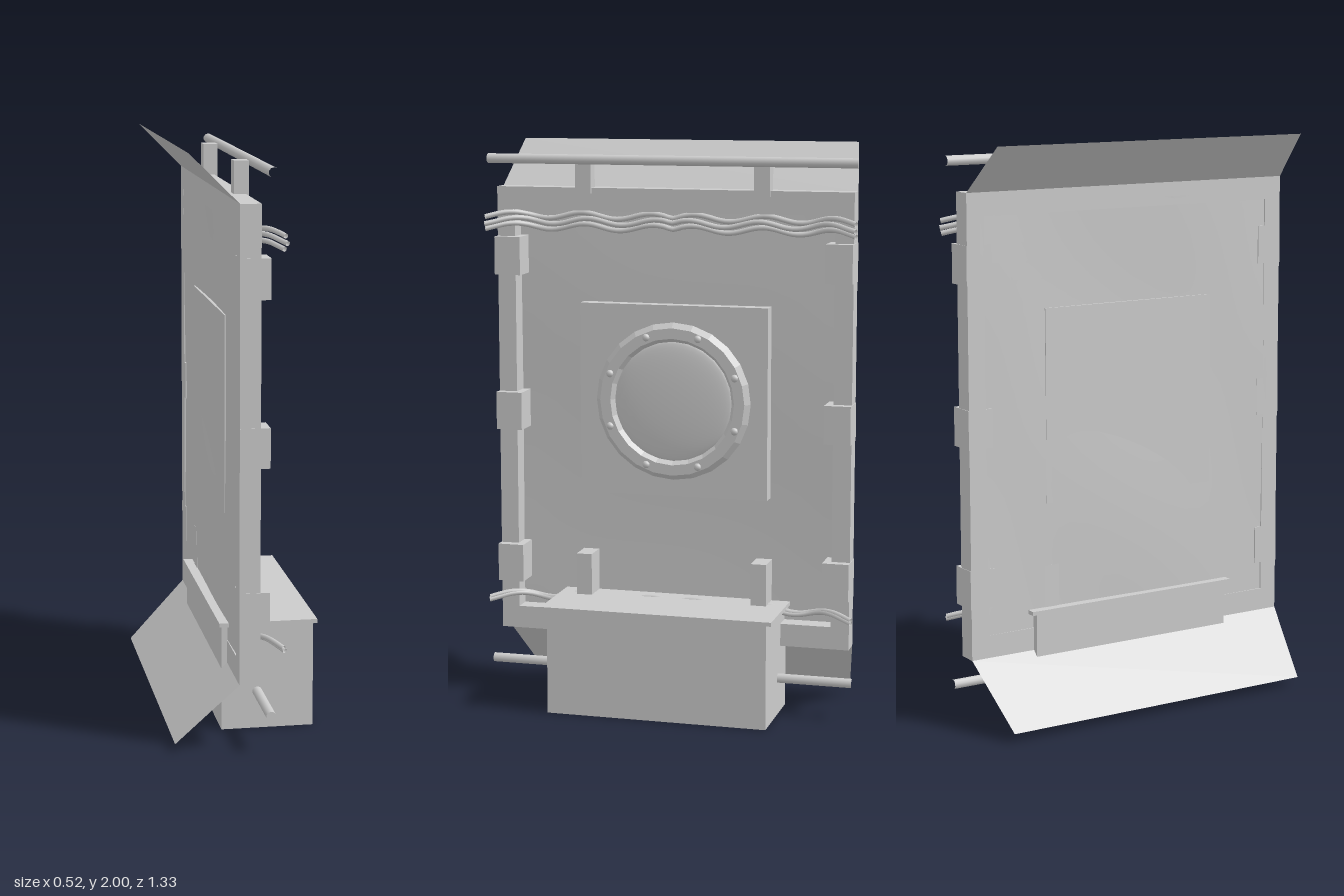
import * as THREE from 'three';

const grey = new THREE.MeshStandardMaterial({ color: 0xcccccc, side: THREE.DoubleSide });
const faceted = new THREE.MeshStandardMaterial({ color: 0xcccccc, flatShading: true });
const tubeSkin = new THREE.MeshStandardMaterial({ color: 0xcccccc });

export function createModel() {
  const model = new THREE.Group();
  model.name = 'wallPanelUnit';

  const add = (name, geometry, material = faceted) => {
    const mesh = new THREE.Mesh(geometry, material);
    mesh.name = name;
    model.add(mesh);
    return mesh;
  };
  // Box given by its limits on each axis
  const box = (name, x0, x1, y0, y1, z0, z1) => {
    const mesh = add(name, new THREE.BoxGeometry(x1 - x0, y1 - y0, z1 - z0));
    mesh.position.set((x0 + x1) / 2, (y0 + y1) / 2, (z0 + z1) / 2);
    return mesh;
  };

  // Frame rails, and posts with clamps
  box('topRail', -0.05, 0.02, 1.76, 1.84, -0.58, 0.58);
  box('bottomRail', -0.05, 0.02, 0.24, 0.32, -0.58, 0.58);
  for (const s of [-1, 1]) {
    const side = (name, x0, x1, y0, y1, a, b) =>
      box(name, x0, x1, y0, y1, Math.min(s * a, s * b), Math.max(s * a, s * b));
    side('post', -0.05, 0.02, 0.24, 1.84, 0.575, 0.64);
    for (const y of [0.42, 0.975, 1.53]) side('clamp', -0.05, 0.052, y, y + 0.135, 0.548, 0.642);
    side('upperBracket', -0.02, 0.03, 1.82, 1.95, 0.292, 0.348);
    side('lowerBracket', -0.048, 0.045, 0.3, 0.535, 0.292, 0.348);
  }

  // Gently dented inner sheet
  const sheet = new THREE.PlaneGeometry(1.18, 1.5, 20, 24);
  sheet.rotateY(Math.PI / 2);
  const p = sheet.attributes.position;
  for (let i = 0; i < p.count; i++) {
    const y = p.getY(i), z = p.getZ(i);
    p.setX(i, 0.007 * Math.sin(4.5 * y + 2 * z) * Math.cos(3.5 * z));
  }
  sheet.computeVertexNormals();
  add('innerSheet', sheet, grey).position.set(-0.047, 1.04, 0);

  // Sloped flaps behind the top and bottom edges
  const flap = (name, y0, x1, y1, w1) => {
    const g = new THREE.BufferGeometry();
    g.setAttribute('position', new THREE.Float32BufferAttribute(
      [-0.05, y0, -0.64, -0.05, y0, 0.64, x1, y1, w1, x1, y1, -w1], 3));
    g.setIndex([0, 1, 2, 0, 2, 3]);
    g.computeVertexNormals();
    add(name, g, grey);
  };
  flap('topFlap', 1.84, -0.21, 2.0, 0.61);
  flap('bottomFlap', 0.24, -0.26, 0.03, 0.595);

  // Porthole: square plate, bevelled ring, shallow dome and bolts
  const cy = 1.095;
  box('portholePlate', -0.05, 0.008, cy - 0.34, cy + 0.34, -0.34, 0.34);
  const profile = [[0.21, 0.005], [0.225, 0.028], [0.262, 0.028], [0.283, 0.005]]
    .map(([r, h]) => new THREE.Vector2(r, h)).reverse();
  const ring = add('portholeRing', new THREE.LatheGeometry(profile, 24),
    new THREE.MeshStandardMaterial({ color: 0xcccccc, flatShading: true, side: THREE.DoubleSide }));
  ring.rotation.z = -Math.PI / 2;
  ring.position.y = cy;
  const dome = add('portholeDome',
    new THREE.SphereGeometry(0.215, 32, 10, 0, Math.PI * 2, 0, Math.PI / 2), tubeSkin);
  dome.scale.y = 0.1;
  dome.rotation.z = -Math.PI / 2;
  dome.position.set(0.005, cy, 0);
  for (let i = 0; i < 8; i++) {
    const a = (i + 0.5) * Math.PI / 4;
    add('bolt', new THREE.SphereGeometry(0.014, 8, 6), tubeSkin)
      .position.set(0.026, cy + 0.245 * Math.sin(a), 0.245 * Math.cos(a));
  }

  // Storage box with overhanging lid
  box('storageBox', -0.07, 0.25, 0, 0.372, -0.395, 0.395);
  box('storageLid', -0.08, 0.26, 0.372, 0.386, -0.415, 0.415);

  // Straight open-ended pipes
  for (const y of [0.132, 1.94]) {
    const pipe = add('pipe', new THREE.CylinderGeometry(0.017, 0.017, 1.32, 10, 1, true), tubeSkin);
    pipe.rotation.x = Math.PI / 2;
    pipe.position.set(0.055, y, 0);
  }

  // Wavy hoses whose ends swing outwards past the posts
  const hose = (name, y, phase, dx) => {
    const points = [];
    for (let i = 0; i <= 40; i++) {
      const z = -0.66 + 1.32 * i / 40;
      const x = 0.01 + dx + 0.085 * Math.max(0, (Math.abs(z) - 0.51) / 0.15);
      points.push(new THREE.Vector3(x, y + 0.011 * Math.cos(25 * (Math.abs(z) - 0.58) + phase), z));
    }
    add(name, new THREE.TubeGeometry(new THREE.CatmullRomCurve3(points), 80, 0.009, 6), grey);
  };
  hose('upperHose', 1.742, 0, 0);
  hose('upperHose', 1.722, 0.5, 0.006);
  hose('upperHose', 1.702, 0.2, -0.004);
  hose('lowerHose', 0.372, 0, 0);
  hose('lowerHose', 0.366, 0.3, 0.004);

  return model;
}
